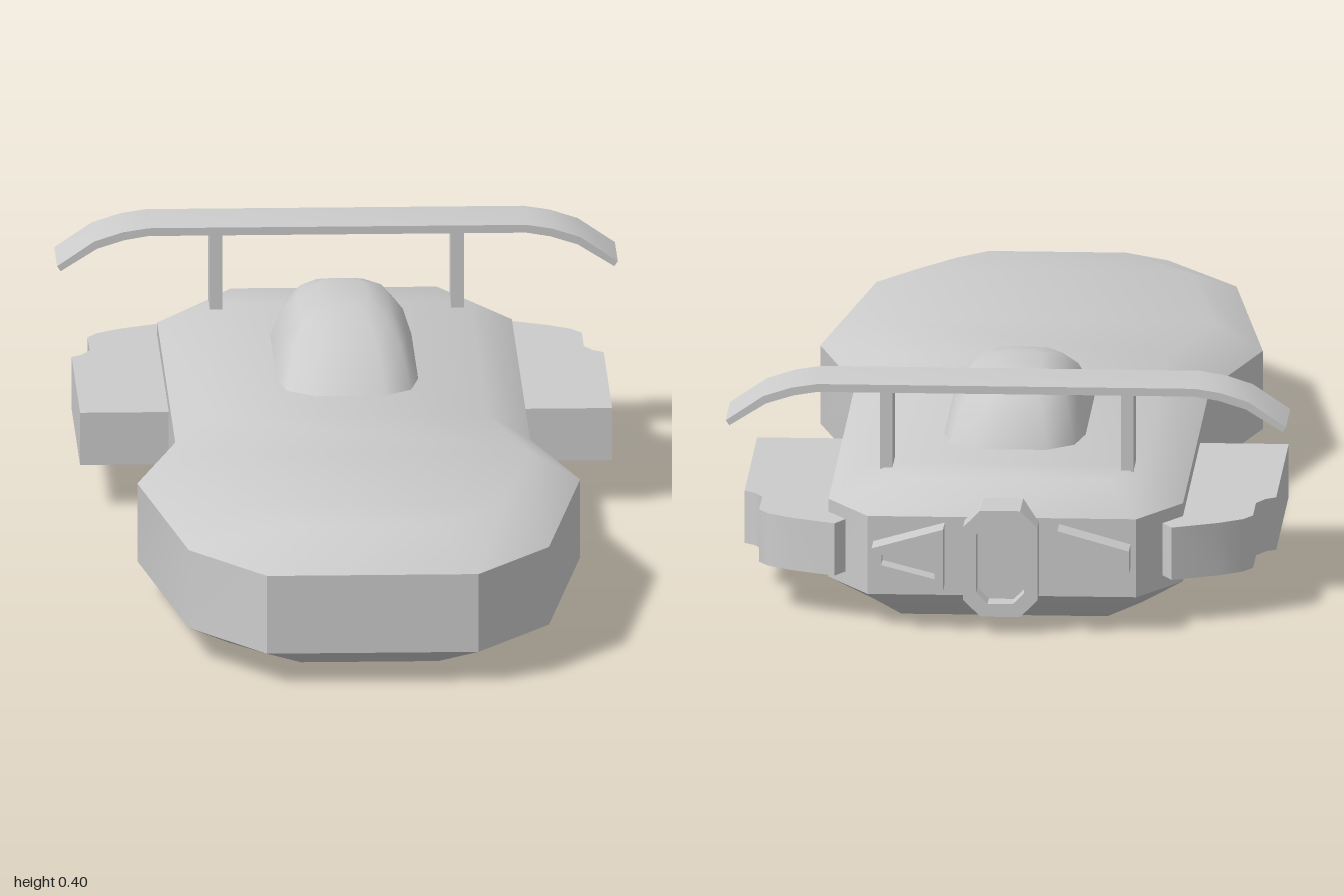
import * as THREE from 'three';
import { toCreasedNormals } from 'three/addons/utils/BufferGeometryUtils.js';

const grey = new THREE.MeshStandardMaterial({ color: 0xcccccc });

function add(parent, name, geometry) {
  const mesh = new THREE.Mesh(geometry, grey);
  mesh.name = name;
  parent.add(mesh);
  return mesh;
}

// Stacks mirrored outlines: each ring is { y, half: [[x, z], ...] }, half running nose to tail on +x.
function stack(rings, crease) {
  const n = rings[0].half.length;
  const pos = [], idx = [];
  for (const { y, half } of rings) {
    for (const [x, z] of half) pos.push(x, y, z);
    for (const [x, z] of [...half].reverse()) pos.push(-x, y, z);
  }
  const count = 2 * n;
  for (let r = 0; r < rings.length - 1; r++) {
    for (let i = 0; i < count; i++) {
      const j = (i + 1) % count;
      const a = r * count + i, b = r * count + j;
      idx.push(a, b, b + count, a, b + count, a + count);
    }
  }
  // Caps are strips running from side to side
  const top = (rings.length - 1) * count;
  for (let i = 0; i < n - 1; i++) {
    const a = i, b = i + 1, c = count - 2 - i, d = count - 1 - i;
    idx.push(top + a, top + b, top + c, top + a, top + c, top + d);
    idx.push(a, c, b, a, d, c);
  }
  const g = new THREE.BufferGeometry();
  g.setAttribute('position', new THREE.Float32BufferAttribute(pos, 3));
  g.setIndex(idx);
  return toCreasedNormals(g, crease);
}

const toShape = pts => new THREE.Shape(pts.map(p => new THREE.Vector2(...p)));

function extrude(shape, depth) {
  return new THREE.ExtrudeGeometry(shape, { depth, bevelEnabled: false });
}

// Open nozzle facing the rear: a rim with a hole and a recessed back plate
function nozzle(name, outer, inner, zFront, zRear) {
  const group = new THREE.Group();
  group.name = name;
  const rim = toShape(outer);
  rim.holes.push(new THREE.Path(inner.map(p => new THREE.Vector2(...p))));
  add(group, name + 'Rim', extrude(rim, zFront - zRear)).position.z = zRear;
  add(group, name + 'Back', extrude(toShape(inner), 0.02)).position.z = zRear + 0.04;
  return group;
}

export function createModel() {
  const model = new THREE.Group();
  model.name = 'racer';

  // Hull with chamfered deck and underside
  const wall = [[0.185, 1], [0.315, 0.81], [0.387, 0.33], [0.31, 0.04], [0.31, -0.82], [0.235, -0.945]];
  const deck = [[0.12, 0.845], [0.24, 0.7], [0.3, 0.33], [0.235, 0.06], [0.235, -0.75], [0.18, -0.86]];
  add(model, 'hull', stack([
    { y: 0, half: deck }, { y: 0.055, half: wall }, { y: 0.195, half: wall }, { y: 0.245, half: deck },
  ], 0.62));

  // Canopy, a rounded dome in four levels
  const canopyRing = (y, w, front, rear) => {
    const cut = Math.min(0.06, (front - rear) * 0.2);
    return { y, half: [[w * 0.5, front], [w * 0.88, front - cut * 0.7], [w, front - cut * 2],
      [w, rear + cut * 2], [w * 0.88, rear + cut * 0.7], [w * 0.5, rear]] };
  };
  add(model, 'canopy', stack([
    canopyRing(0.24, 0.125, -0.075, -0.645),
    canopyRing(0.3, 0.107, -0.175, -0.605),
    canopyRing(0.335, 0.08, -0.245, -0.565),
    canopyRing(0.35, 0.042, -0.33, -0.51),
  ], 0.75));

  // Rear wing with drooping tips
  const upper = [[0.33, 0.4], [0.375, 0.393], [0.425, 0.377], [0.49, 0.333]];
  const lower = [[0.484, 0.324], [0.42, 0.364], [0.372, 0.379], [0.33, 0.386]];
  const right = [...upper, ...lower];
  const left = [...right].reverse().map(([x, y]) => [-x, y]);
  const wing = extrude(toShape([...right, ...left]), 0.137);
  add(model, 'wing', toCreasedNormals(wing, 0.6)).position.z = -0.817;

  for (const s of [1, -1]) {
    const side = s > 0 ? 'left' : 'right';
    const mirror = pts => pts.map(([x, y]) => [s * x, y]);

    // Wing post
    add(model, side + 'WingPost', new THREE.BoxGeometry(0.022, 0.15, 0.08))
      .position.set(s * 0.211, 0.315, -0.75);

    // Side pod, stepped in and rounded towards the tail
    const pod = mirror([[0.27, 0.27], [0.465, 0.27], [0.465, 0.67], [0.447, 0.685], [0.432, 0.715],
      [0.432, 0.81], [0.415, 0.838], [0.375, 0.868], [0.295, 0.908], [0.27, 0.86]]);
    const podGeo = extrude(toShape(pod), 0.094);
    podGeo.rotateX(-Math.PI / 2);
    add(model, side + 'SidePod', toCreasedNormals(podGeo, 0.6)).position.y = 0.078;

    // Outer exhaust, tall towards the middle and narrow at the outside
    model.add(nozzle(side + 'Exhaust',
      mirror([[0.1, 0.075], [0.225, 0.108], [0.225, 0.15], [0.1, 0.185]]),
      mirror([[0.115, 0.096], [0.208, 0.12], [0.208, 0.138], [0.115, 0.164]]), -0.93, -1));
  }

  // Central exhaust, an upright octagon
  const octagon = (w, h, cut) => [[w, h - cut], [w - cut, h], [cut - w, h], [-w, h - cut],
    [-w, cut - h], [cut - w, -h], [w - cut, -h], [w, cut - h]].map(([x, y]) => [x, y + 0.125]);
  model.add(nozzle('centreExhaust', octagon(0.065, 0.095, 0.03), octagon(0.042, 0.072, 0.02), -0.9, -1));

  return model;
}
